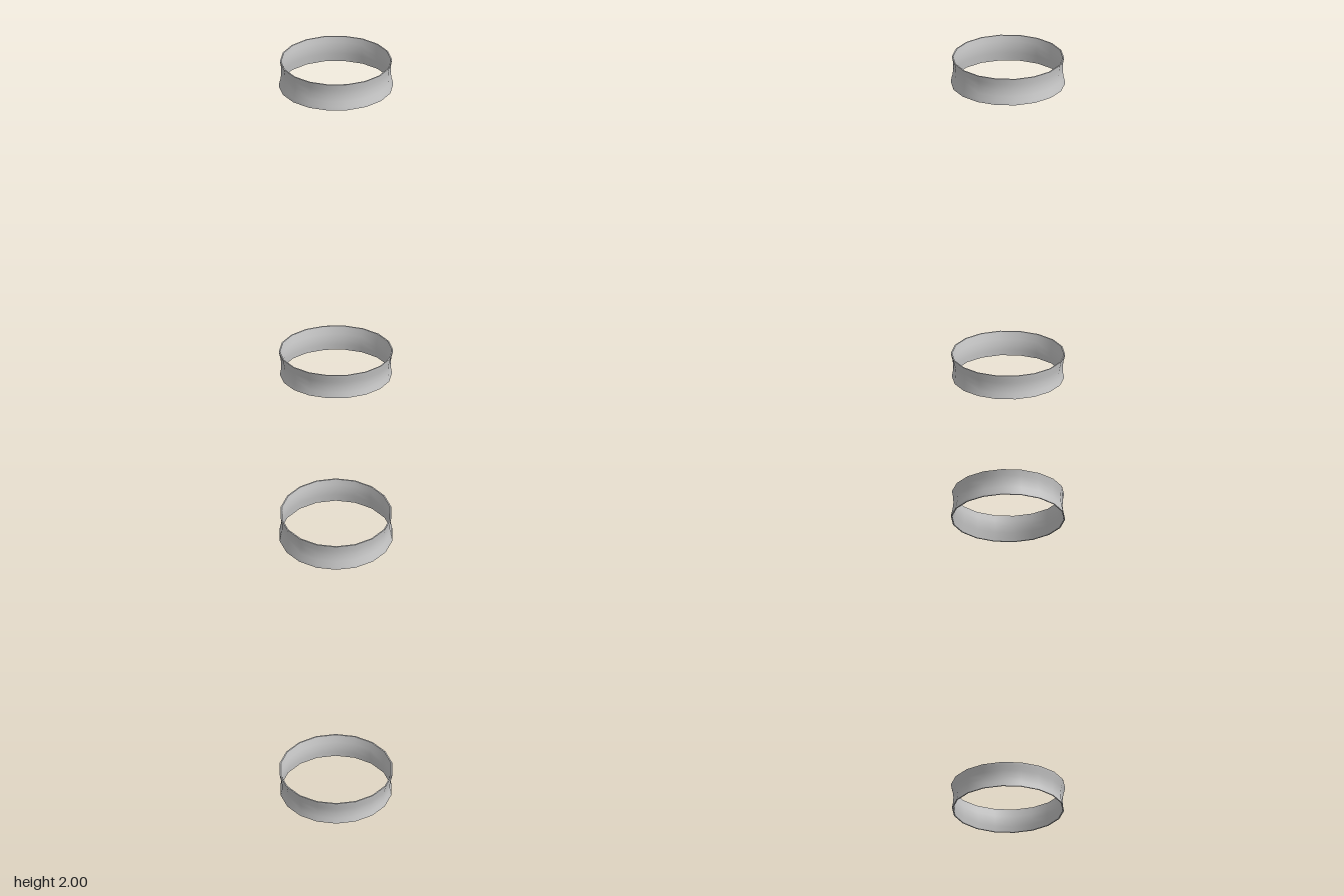
import * as THREE from 'three';
import { mergeGeometries } from 'three/addons/utils/BufferGeometryUtils.js';

const SIDES = 18;
const toVertex = 1 / Math.cos(Math.PI / SIDES); // apothem to corner radius

// Thin waisted ring: [height fraction, outer apothem, inner apothem]
const SECTION = [
  [0, 0.323, 0.316],
  [0.13, 0.320, 0.313],
  [0.32, 0.313, 0.308],
  [0.55, 0.309, 0.304],
  [0.78, 0.311, 0.306],
  [1, 0.317, 0.310],
];

function ringGeometry(yWide, yNarrow) {
  const rows = SECTION.map(([t, o, i]) => {
    const y = yWide + (yNarrow - yWide) * t;
    return { o: new THREE.Vector2(o * toVertex, y), i: new THREE.Vector2(i * toVertex, y) };
  }).sort((a, b) => a.o.y - b.o.y);
  const low = rows[0], high = rows[rows.length - 1];
  // Separate strips keep the rim edges sharp
  const strips = [
    rows.map((r) => r.o),
    [high.o, high.i],
    rows.map((r) => r.i).reverse(),
    [low.i, low.o],
  ];
  return mergeGeometries(strips.map((s) => new THREE.LatheGeometry(s, SIDES)));
}

export function createModel() {
  const group = new THREE.Group();
  const material = new THREE.MeshStandardMaterial({ color: 0xcccccc, side: THREE.DoubleSide });
  // The wide flares of the two rings face each other
  const rings = [['upperRing', 1.84, 2], ['lowerRing', 0.147, 0]];
  for (const [name, yWide, yNarrow] of rings) {
    const mesh = new THREE.Mesh(ringGeometry(yWide, yNarrow), material);
    mesh.name = name;
    group.add(mesh);
  }
  return group;
}
